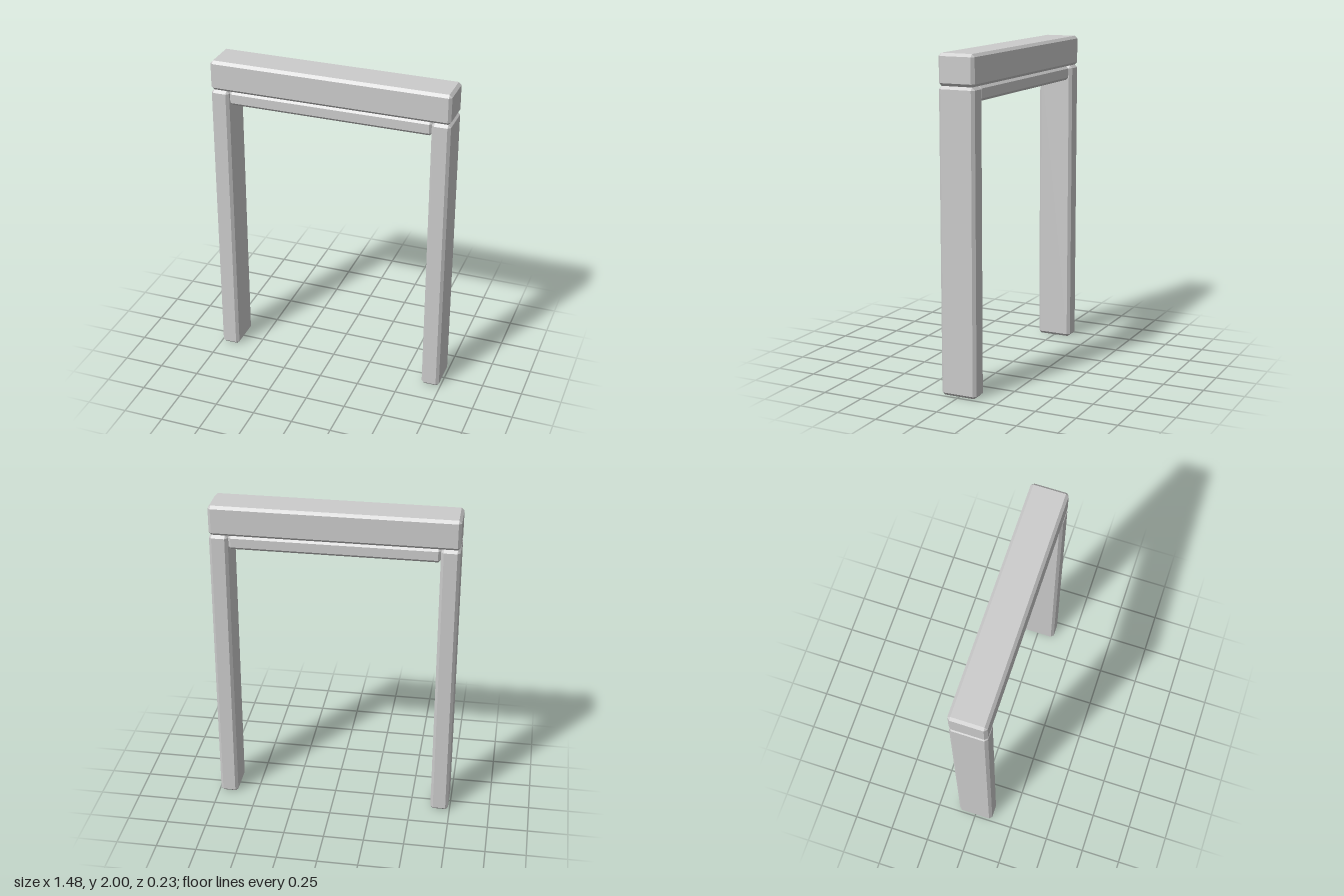
import * as THREE from 'three';
import { ConvexGeometry } from 'three/addons/geometries/ConvexGeometry.js';

const material = new THREE.MeshStandardMaterial({ color: 0xcccccc, flatShading: true });
const BEVEL = 0.017;

// Box with every edge chamfered: each corner becomes a small triangle
function beveledBox(name, width, height, depth, x, y, z) {
  const half = [width / 2, height / 2, depth / 2];
  const points = [];
  for (const sx of [-1, 1]) for (const sy of [-1, 1]) for (const sz of [-1, 1]) {
    for (let axis = 0; axis < 3; axis++) {
      const [px, py, pz] = half.map((h, i) => (i === axis ? h : h - BEVEL));
      points.push(new THREE.Vector3(sx * px, sy * py, sz * pz));
    }
  }
  const mesh = new THREE.Mesh(new ConvexGeometry(points), material);
  mesh.name = name;
  mesh.position.set(x, y, z);
  return mesh;
}

export function createModel() {
  const group = new THREE.Group();
  group.name = 'doorFrame';

  // Two upright posts
  for (const side of [-1, 1]) {
    group.add(beveledBox(side > 0 ? 'leftPost' : 'rightPost', 0.113, 1.815, 0.226, side * 0.684, 0.9075, 0));
  }

  // Lintel resting on the posts
  group.add(beveledBox('lintel', 1.481, 0.185, 0.226, 0, 1.9075, 0));

  // Slimmer rail tucked under the lintel, between the posts
  group.add(beveledBox('innerRail', 1.258, 0.09, 0.198, 0, 1.77, 0));

  return group;
}
